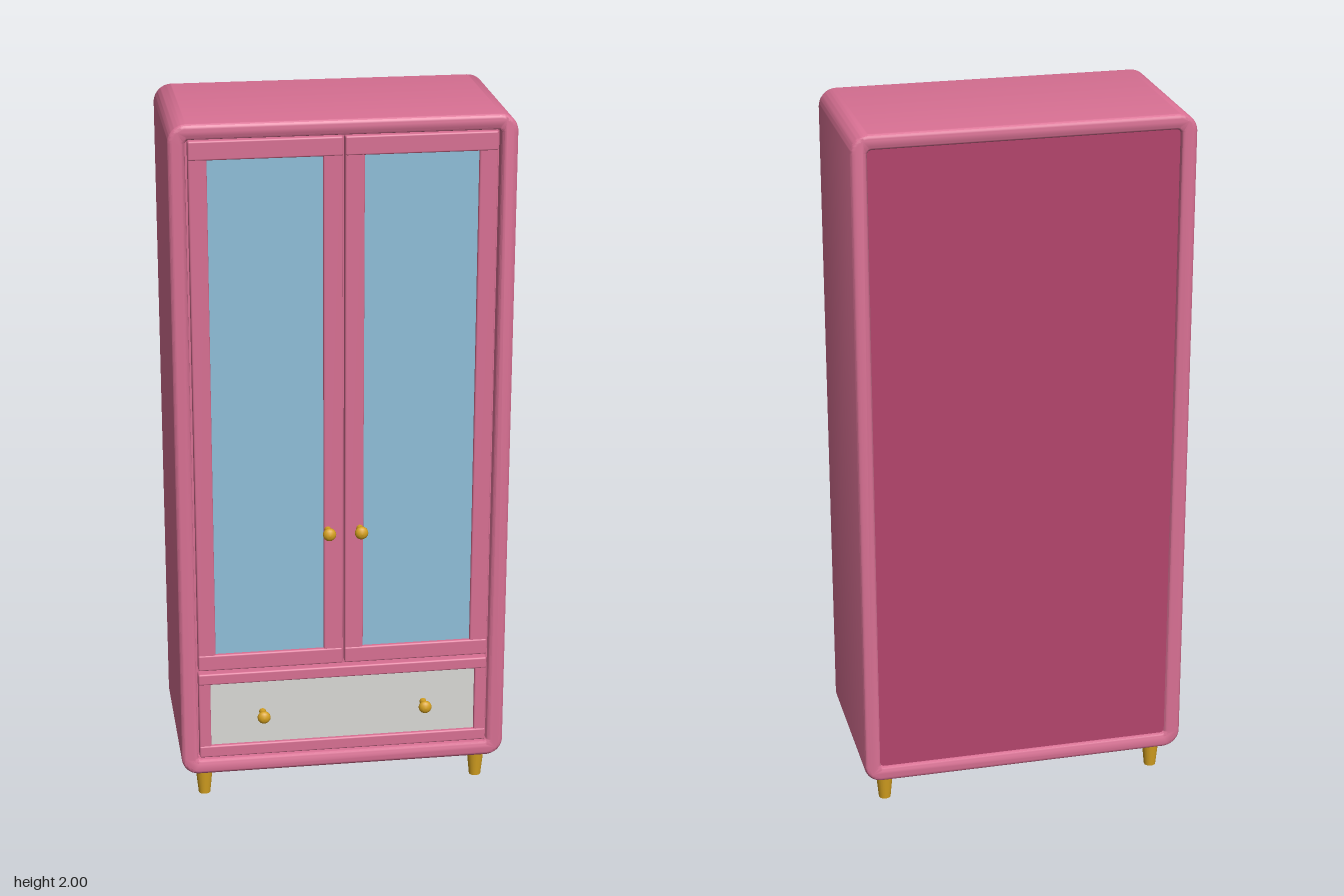
import * as THREE from 'three';
import { toCreasedNormals } from 'three/addons/utils/BufferGeometryUtils.js';
import { RoundedBoxGeometry } from 'three/addons/geometries/RoundedBoxGeometry.js';

function material(name, color) {
  const m = new THREE.MeshStandardMaterial({ color });
  m.name = name;
  return m;
}

// Rounded rectangle outline centred on x = 0
function roundedRect(path, halfW, y0, y1, r) {
  path.moveTo(halfW, y0 + r);
  path.lineTo(halfW, y1 - r);
  path.absarc(halfW - r, y1 - r, r, 0, Math.PI / 2);
  path.lineTo(-halfW + r, y1);
  path.absarc(-halfW + r, y1 - r, r, Math.PI / 2, Math.PI);
  path.lineTo(-halfW, y0 + r);
  path.absarc(-halfW + r, y0 + r, r, Math.PI, Math.PI * 1.5);
  path.lineTo(halfW - r, y0);
  path.absarc(halfW - r, y0 + r, r, Math.PI * 1.5, Math.PI * 2);
  return path;
}

export function createModel() {
  const pink = material('pink paint', 0xd87093);
  const rose = material('dark rose back', 0xb3446c);
  const blue = material('blue glass', 0x8fbfd9);
  const white = material('pale drawer front', 0xd9d9d6);
  const gold = material('gold metal', 0xd4a020);

  const model = new THREE.Group();
  model.name = 'wardrobe';

  function add(parent, name, geometry, mat, x = 0, y = 0, z = 0) {
    const mesh = new THREE.Mesh(geometry, mat);
    mesh.name = name;
    mesh.position.set(x, y, z);
    parent.add(mesh);
    return mesh;
  }

  // Box given by its extents, with optional softened edges
  function block(parent, name, mat, x0, x1, y0, y1, z0, z1, r = 0) {
    const size = [x1 - x0, y1 - y0, z1 - z0];
    const g = r ? new RoundedBoxGeometry(...size, 2, r) : new THREE.BoxGeometry(...size);
    return add(parent, name, g, mat, (x0 + x1) / 2, (y0 + y1) / 2, (z0 + z1) / 2);
  }

  // Outer shell: a rounded tube with softened front and back rims
  const bevel = 0.012;
  const outline = roundedRect(new THREE.Shape(), 0.468, 0.09, 2, 0.05);
  outline.holes.push(roundedRect(new THREE.Path(), 0.422, 0.135, 1.957, 0.012));
  const shell = new THREE.ExtrudeGeometry(outline, {
    depth: 0.49 - 2 * bevel, bevelEnabled: true, bevelThickness: bevel,
    bevelSize: bevel, bevelOffset: -bevel, bevelSegments: 4, curveSegments: 10,
  });
  add(model, 'shell', toCreasedNormals(shell, 0.7), pink, 0, 0, -0.267 + bevel);

  // Back panel and the carcass behind the doors
  block(model, 'backPanel', rose, -0.424, 0.424, 0.133, 1.959, -0.256, -0.24);
  block(model, 'carcass', pink, -0.423, 0.423, 0.134, 1.958, -0.24, 0.188);

  // Knob turned around its own axis, pointing forward
  const profile = [[0.011, -0.03], [0.009, 0], [0.009, 0.012], [0.014, 0.016], [0.0185, 0.023],
    [0.0185, 0.028], [0.015, 0.035], [0.008, 0.039], [0, 0.04]]
    .map(([r, h]) => new THREE.Vector2(r, h));
  const knobGeometry = new THREE.LatheGeometry(profile, 20).rotateX(Math.PI / 2);

  // Two framed glass doors
  for (const side of [-1, 1]) {
    const door = new THREE.Group();
    door.name = side > 0 ? 'leftDoor' : 'rightDoor';
    model.add(door);
    const bar = (name, a, b, y0, y1, z1) => block(door, name, pink,
      Math.min(side * a, side * b), Math.max(side * a, side * b), y0, y1, 0.185, z1, 0.005);
    bar('innerStile', 0.003, 0.056, 0.415, 1.953, 0.214);
    bar('outerStile', 0.365, 0.415, 0.415, 1.953, 0.214);
    bar('topRail', 0.003, 0.415, 1.9, 1.953, 0.216);
    bar('bottomRail', 0.003, 0.415, 0.415, 0.463, 0.216);
    add(door, 'glass', new THREE.BoxGeometry(0.32, 1.45, 0.014), blue, side * 0.21, 1.18, 0.198);
    add(door, 'doorKnob', knobGeometry, gold, side * 0.045, 0.83, 0.225);
  }

  // Drawer with a pale front inside a pink frame
  const drawer = new THREE.Group();
  drawer.name = 'drawer';
  model.add(drawer);
  block(drawer, 'drawerTopRail', pink, -0.416, 0.416, 0.37, 0.404, 0.185, 0.216, 0.005);
  block(drawer, 'drawerBottomRail', pink, -0.416, 0.416, 0.14, 0.176, 0.185, 0.216, 0.005);
  for (const side of [-1, 1]) {
    const x = side * 0.399;
    block(drawer, 'drawerStile', pink, x - 0.017, x + 0.017, 0.145, 0.4, 0.185, 0.214, 0.005);
    add(drawer, 'drawerKnob', knobGeometry, gold, side * 0.233, 0.272, 0.218);
  }
  block(drawer, 'drawerFront', white, -0.385, 0.385, 0.17, 0.375, 0.185, 0.205);

  // Four tapered legs
  const legGeometry = new THREE.CylinderGeometry(0.027, 0.017, 0.1, 20);
  for (const x of [-0.4, 0.4]) {
    for (const z of [0.157, -0.196]) add(model, 'leg', legGeometry, gold, x, 0.05, z);
  }
  return model;
}
